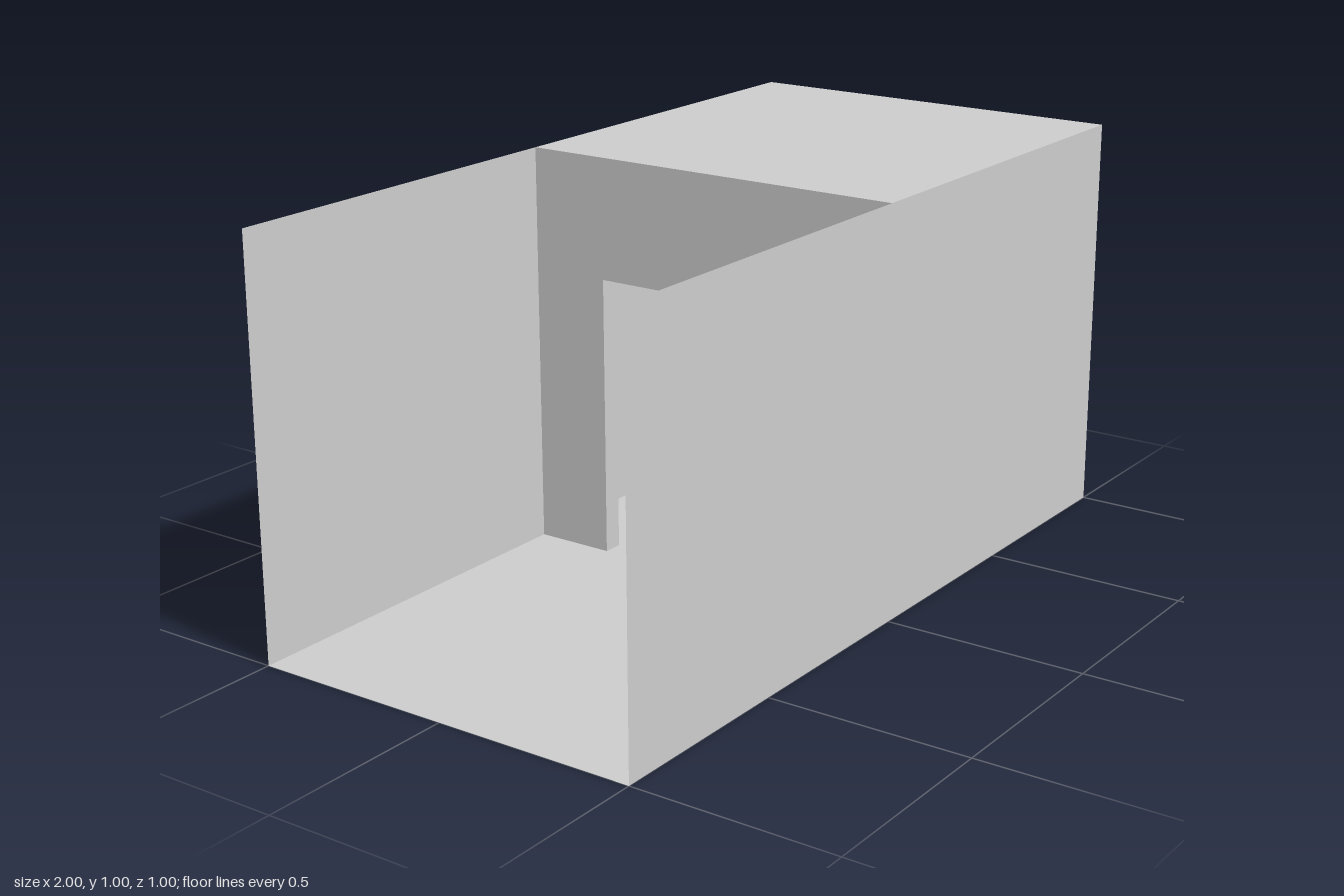
import * as THREE from 'three';

const LENGTH = 2, HEIGHT = 1, WIDTH = 1;
const WALL = 0.05;                    // partition thickness
const DOOR_HALF = 0.3, DOOR_TOP = 0.7;

export function createModel() {
  const model = new THREE.Group();
  model.name = 'openEndedBox';
  const material = new THREE.MeshStandardMaterial({
    color: 0xcccccc, flatShading: true, side: THREE.DoubleSide,
  });

  // Thin sheet, turned and placed
  function sheet(name, w, h, position, rotX = 0, rotY = 0) {
    const mesh = new THREE.Mesh(new THREE.PlaneGeometry(w, h), material);
    mesh.name = name;
    mesh.position.set(...position);
    mesh.rotation.set(rotX, rotY, 0);
    model.add(mesh);
  }

  // Outer shell: floor, two long walls, one closed end (the -x end stays open)
  sheet('floor', LENGTH, WIDTH, [0, 0, 0], Math.PI / 2);
  sheet('frontWall', LENGTH, HEIGHT, [0, HEIGHT / 2, WIDTH / 2]);
  sheet('backWall', LENGTH, HEIGHT, [0, HEIGHT / 2, -WIDTH / 2], 0, Math.PI);
  sheet('endWall', WIDTH, HEIGHT, [LENGTH / 2, HEIGHT / 2, 0], 0, Math.PI / 2);

  // Roof over the closed half, meeting the top of the partition
  const roofLength = LENGTH / 2 - WALL / 2;
  sheet('roof', roofLength, WIDTH, [WALL / 2 + roofLength / 2, HEIGHT, 0], -Math.PI / 2);

  // Partition across the middle with a doorway down to the floor
  const outline = new THREE.Shape([
    [-WIDTH / 2, 0], [-DOOR_HALF, 0], [-DOOR_HALF, DOOR_TOP], [DOOR_HALF, DOOR_TOP],
    [DOOR_HALF, 0], [WIDTH / 2, 0], [WIDTH / 2, HEIGHT], [-WIDTH / 2, HEIGHT],
  ].map(([x, y]) => new THREE.Vector2(x, y)));
  const partitionGeometry = new THREE.ExtrudeGeometry(outline, { depth: WALL, bevelEnabled: false });
  partitionGeometry.translate(0, 0, -WALL / 2).rotateY(Math.PI / 2);
  const partition = new THREE.Mesh(partitionGeometry, material);
  partition.name = 'doorwayPartition';
  model.add(partition);

  return model;
}
